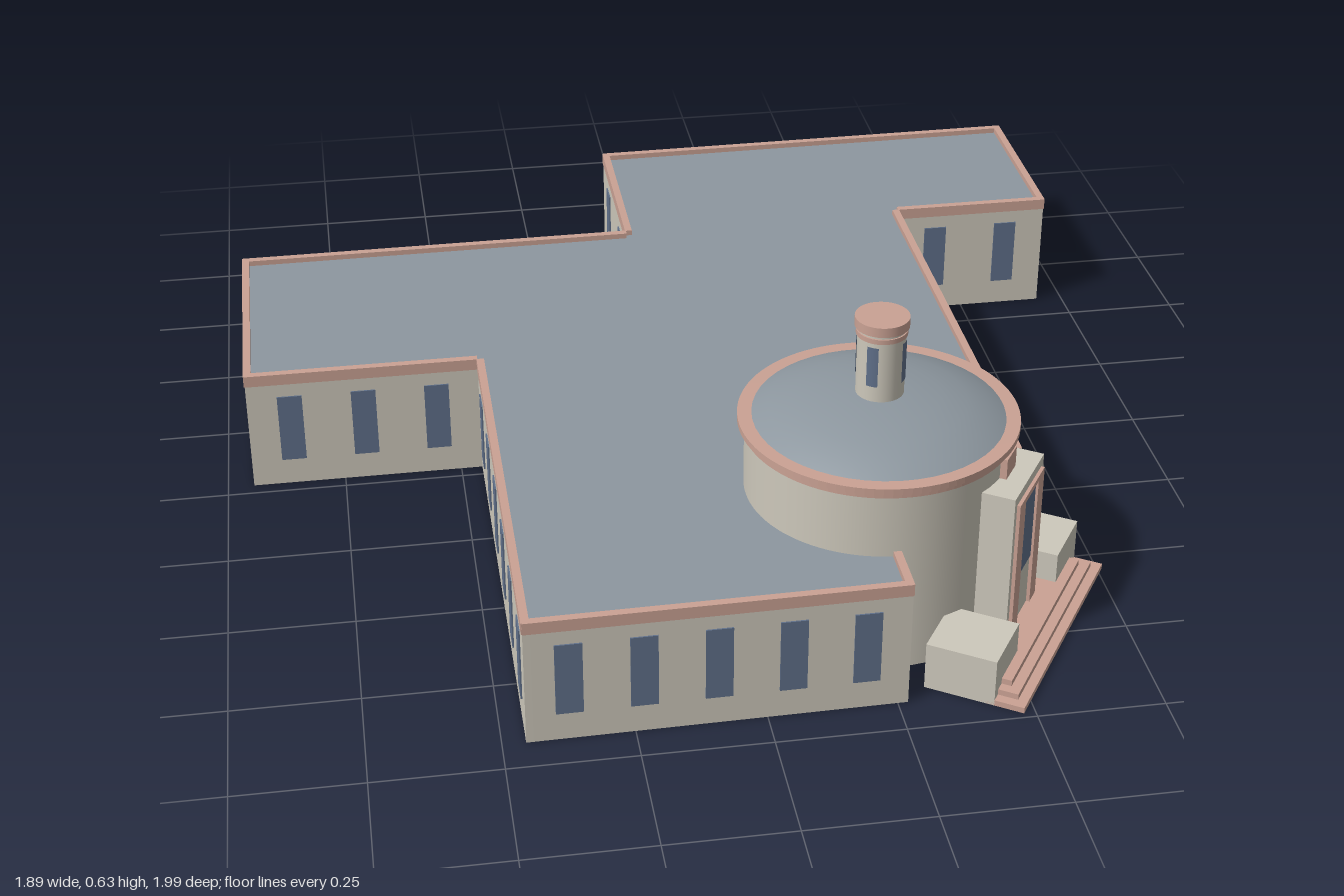
import * as THREE from 'three';

export function createModel() {
  const model = new THREE.Group();
  model.name = 'building';
  const mat = (name, color, side = THREE.FrontSide) => {
    const m = new THREE.MeshStandardMaterial({ color, side });
    m.name = name;
    return m;
  };
  const stone = mat('pale stone', 0xcdc8bb, THREE.DoubleSide);
  const trim = mat('terracotta trim', 0xcaa294, THREE.DoubleSide);
  const slate = mat('slate roof', 0x8d979f, THREE.DoubleSide);
  const glass = mat('blue glass', 0x60708a, THREE.DoubleSide);

  const add = (parent, name, geo, material, x = 0, y = 0, z = 0) => {
    const m = new THREE.Mesh(geo, material);
    m.name = name;
    m.position.set(x, y, z);
    parent.add(m);
    return m;
  };
  // Box given by its limits
  const box = (parent, name, material, x0, x1, y0, y1, z0, z1) =>
    add(parent, name, new THREE.BoxGeometry(x1 - x0, y1 - y0, z1 - z0), material,
      (x0 + x1) / 2, (y0 + y1) / 2, (z0 + z1) / 2);
  const lathe = (parent, name, material, pts, seg = 48) =>
    add(parent, name, new THREE.LatheGeometry(pts.map(p => new THREE.Vector2(...p)), seg), material);

  const CX = 0.28, CZ = 0.55, R = 0.26, T = 0.014;

  // Wings: corner x, z, then window count, spacing and shift of the wall that starts there
  const outline = [
    [-0.065, -0.99, 7, 0.145, 0], [0.94, -1, 2, 0.25, 0], [0.94, -0.58, 2, 0.17, 0],
    [0.585, -0.58, 5, 0.2, 0.05], [0.59, 0.49, 0, 0, 0], [0.535, 0.51, -1, 0, 0],
    [0.27, 0.81, 0, 0, 0], [0.27, 0.92, 5, 0.14, 0], [-0.455, 0.93, 6, 0.16, 0],
    [-0.455, -0.03, 3, 0.155, 0], [-0.945, -0.03, 3, 0.17, 0], [-0.945, -0.565, 6, 0.147, 0],
    [-0.065, -0.57, 2, 0.21, 0],
  ];
  outline.forEach(([x1, z1, count, gap, shift], i) => {
    if (count < 0) return; // the rotunda closes this side
    const [x2, z2] = outline[(i + 1) % outline.length];
    const dx = x2 - x1, dz = z2 - z1, L = Math.hypot(dx, dz);
    const side = new THREE.Group();
    side.name = 'wingSide';
    side.position.set((x1 + x2) / 2, 0, (z1 + z2) / 2);
    side.rotation.y = Math.atan2(dz, -dx);
    box(side, 'wall', stone, -L / 2, L / 2, 0, 0.245, -T, 0);
    box(side, 'parapet', trim, -L / 2, L / 2, 0.245, 0.27, -T, 0.002);
    for (let k = 0; k < count; k++) {
      const x = -shift - (k - (count - 1) / 2) * gap;
      box(side, 'window', glass, x - 0.026, x + 0.026, 0.06, 0.215, -0.002, 0.003);
    }
    model.add(side);
  });

  // Flat roof, notched around the rotunda
  const roof = new THREE.Shape();
  outline.forEach(([x, z, count], i) => {
    if (i === 0) roof.moveTo(x, -z);
    else roof.lineTo(x, -z);
    if (count < 0) roof.absarc(CX, -CZ, R, 0.156, Math.PI * 1.5, false);
  });
  roof.closePath();
  add(model, 'flatRoof', new THREE.ShapeGeometry(roof, 32).rotateX(-Math.PI / 2), slate, 0, 0.258, 0);

  // Rotunda, turned so local +z faces out of the entrance
  const rotunda = new THREE.Group();
  rotunda.name = 'rotunda';
  rotunda.position.set(CX, 0, CZ);
  rotunda.rotation.y = 0.995;
  model.add(rotunda);
  add(rotunda, 'drum', new THREE.CylinderGeometry(R, R, 0.4, 48, 1, true), stone, 0, 0.2, 0);
  for (const [y0, y1, r] of [[0.392, 0.404, 0.266], [0.404, 0.417, 0.274]]) {
    const ring = new THREE.Shape().absarc(0, 0, r, 0, Math.PI * 2);
    ring.holes.push(new THREE.Path().absarc(0, 0, 0.245, 0, Math.PI * 2));
    const geo = new THREE.ExtrudeGeometry(ring, { depth: y1 - y0, bevelEnabled: false, curveSegments: 48 });
    add(rotunda, 'cornice', geo.rotateX(-Math.PI / 2), trim, 0, y0, 0);
  }
  lathe(rotunda, 'dome', slate, [[0.25, 0.415], [0.215, 0.434], [0.17, 0.449], [0.12, 0.46],
    [0.06, 0.467], [0, 0.469]]);

  // Lantern on the dome
  add(rotunda, 'lantern', new THREE.CylinderGeometry(0.047, 0.047, 0.15, 32), stone, 0, 0.54, 0);
  for (const [r, y, h] of [[0.05, 0.6, 0.01], [0.053, 0.622, 0.02]])
    add(rotunda, 'lanternCap', new THREE.CylinderGeometry(r, r, h, 32), trim, 0, y, 0);
  for (let k = 0; k < 4; k++)
    add(rotunda, 'lanternWindow', new THREE.CylinderGeometry(0.0485, 0.0485, 0.085, 6, 1, true,
      k * Math.PI / 2 - 0.24, 0.48), glass, 0, 0.543, 0);

  // Entrance portal and door
  const portal = new THREE.Group();
  portal.name = 'entrance';
  rotunda.add(portal);
  box(portal, 'portalBlock', stone, -0.09, 0.09, 0, 0.35, 0.23, 0.31);
  for (const s of [-1, 1]) {
    box(portal, 'doorJamb', trim, s * 0.058 - 0.018, s * 0.058 + 0.018, 0.035, 0.33, 0.308, 0.317);
    const c = s * 0.1925;
    box(portal, 'pedestal', stone, c - 0.0675, c + 0.0675, 0, 0.1, 0.205, 0.345);
  }
  box(portal, 'doorLintel', trim, -0.04, 0.04, 0.318, 0.33, 0.308, 0.317);
  box(portal, 'doorGlass', glass, -0.04, 0.04, 0.145, 0.318, 0.306, 0.312);
  box(portal, 'keyBlock', trim, -0.028, 0.028, 0.34, 0.393, 0.24, 0.272);

  // Steps
  [[0.26, 0.404], [0.24, 0.385], [0.22, 0.365]].forEach(([w, n], i) =>
    box(portal, 'step', trim, -w, w, i * 0.012, (i + 1) * 0.012, 0.3, n));

  return model;
}
